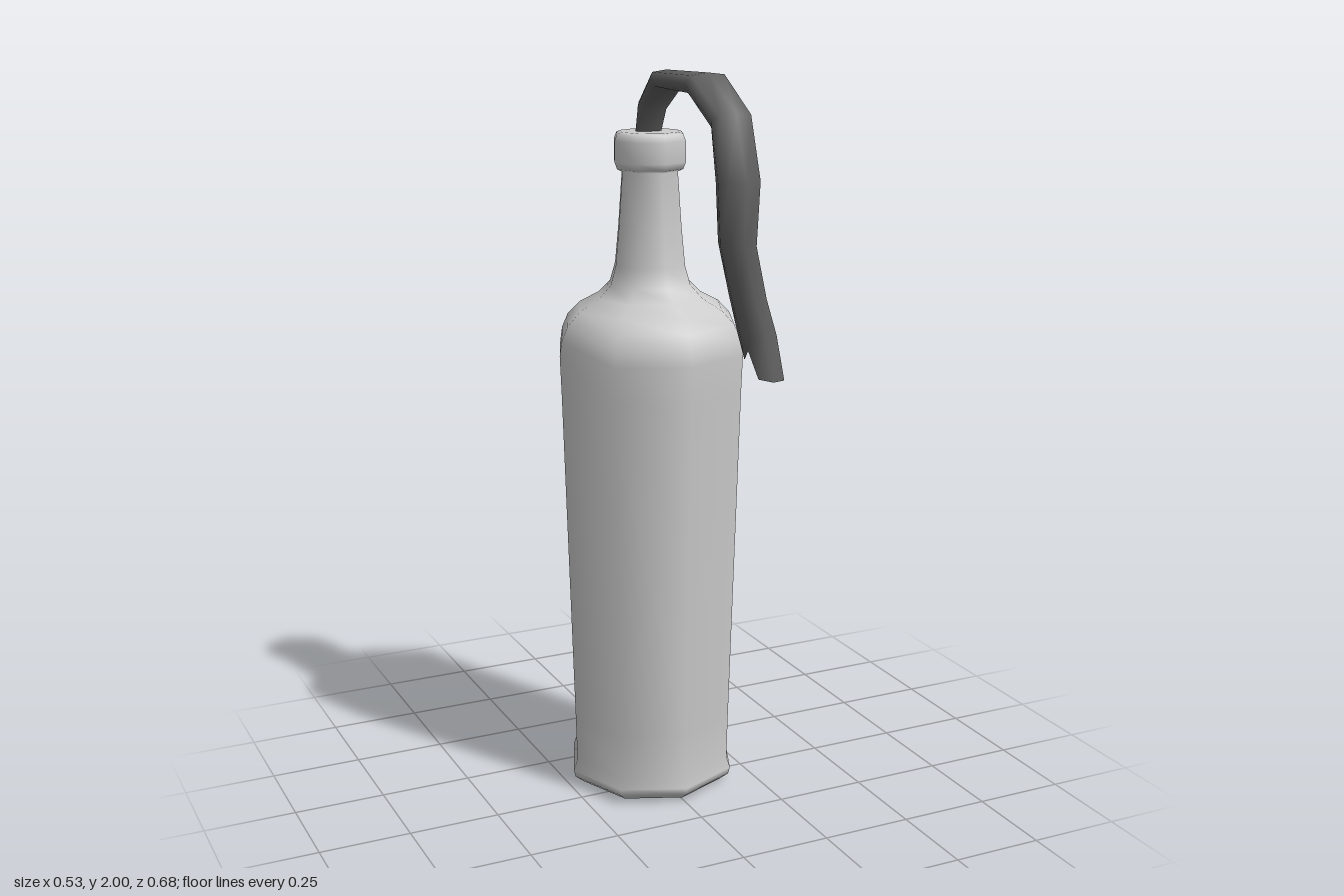
import * as THREE from 'three';

const SIDES = 8;

// Sweeps a flattened eight-sided section; rows are [x, y, z, halfWidth, halfThickness]
function sweptStrip(rows, endTear) {
  const centres = rows.map(r => new THREE.Vector3(r[0], r[1], r[2]));
  const positions = [], index = [];
  const side = new THREE.Vector3(1, 0, 0);
  rows.forEach((r, i) => {
    const next = centres[Math.min(i + 1, rows.length - 1)];
    const prev = centres[Math.max(i - 1, 0)];
    const tangent = next.clone().sub(prev).setX(0).normalize();
    const normal = tangent.clone().cross(side);
    for (let j = 0; j < SIDES; j++) {
      const a = (j / SIDES) * Math.PI * 2;
      // squarish section
      const c = Math.sign(Math.cos(a)) * Math.abs(Math.cos(a)) ** 0.7;
      const s = Math.sign(Math.sin(a)) * Math.abs(Math.sin(a)) ** 0.7;
      const p = centres[i].clone().addScaledVector(side, c * r[3]).addScaledVector(normal, s * r[4]);
      if (i === rows.length - 1) p.y += endTear[j];
      positions.push(p.x, p.y, p.z);
    }
  });
  for (let i = 0; i < rows.length - 1; i++) {
    for (let j = 0; j < SIDES; j++) {
      const k = (j + 1) % SIDES;
      const a = i * SIDES + j, b = i * SIDES + k;
      index.push(a, b, b + SIDES, a, b + SIDES, a + SIDES);
    }
  }
  const g = new THREE.BufferGeometry();
  g.setAttribute('position', new THREE.Float32BufferAttribute(positions, 3));
  g.setIndex(index);
  g.computeVertexNormals();
  return g;
}

export function createModel() {
  const model = new THREE.Group();

  // Bottle: octagonal, smooth-shaded, with a foot, rounded shoulder, neck and lip
  const profile = [
    [0, 0], [0.19, 0], [0.21, 0.005], [0.235, 0.025], [0.24, 0.045], [0.229, 0.075],
    [0.232, 0.2], [0.26, 1.15], [0.264, 1.25], [0.258, 1.29], [0.24, 1.33], [0.205, 1.365],
    [0.15, 1.395], [0.115, 1.43], [0.1, 1.48], [0.09, 1.58], [0.079, 1.73],
    [0.094, 1.737], [0.101, 1.755], [0.101, 1.81], [0.094, 1.828], [0.08, 1.833], [0, 1.833],
  ].map(([r, y]) => new THREE.Vector2(r, y));
  const bottle = new THREE.Mesh(
    new THREE.LatheGeometry(profile, SIDES),
    new THREE.MeshStandardMaterial({ color: 0xcccccc })
  );
  bottle.name = 'bottle';
  bottle.position.z = -0.08;
  model.add(bottle);

  // Rag: rises from the mouth, arches forward and hangs to a torn end
  const rag = new THREE.Mesh(
    sweptStrip([
      [0.0, 1.81, -0.095, 0.036, 0.018],
      [0.0, 1.9, -0.062, 0.042, 0.022],
      [0.012, 1.973, 0.005, 0.052, 0.024],
      [0.058, 1.968, 0.135, 0.06, 0.03],
      [0.07, 1.885, 0.25, 0.056, 0.035],
      [0.068, 1.74, 0.295, 0.056, 0.046],
      [0.078, 1.58, 0.275, 0.048, 0.042],
      [0.115, 1.44, 0.265, 0.046, 0.044],
      [0.145, 1.34, 0.262, 0.048, 0.046],
      [0.165, 1.25, 0.267, 0.048, 0.05],
    ], [0.01, -0.03, -0.03, -0.02, 0.05, 0.02, 0.09, 0.03]),
    new THREE.MeshStandardMaterial({ color: 0x606060, side: THREE.DoubleSide })
  );
  rag.name = 'rag';
  model.add(rag);

  return model;
}
